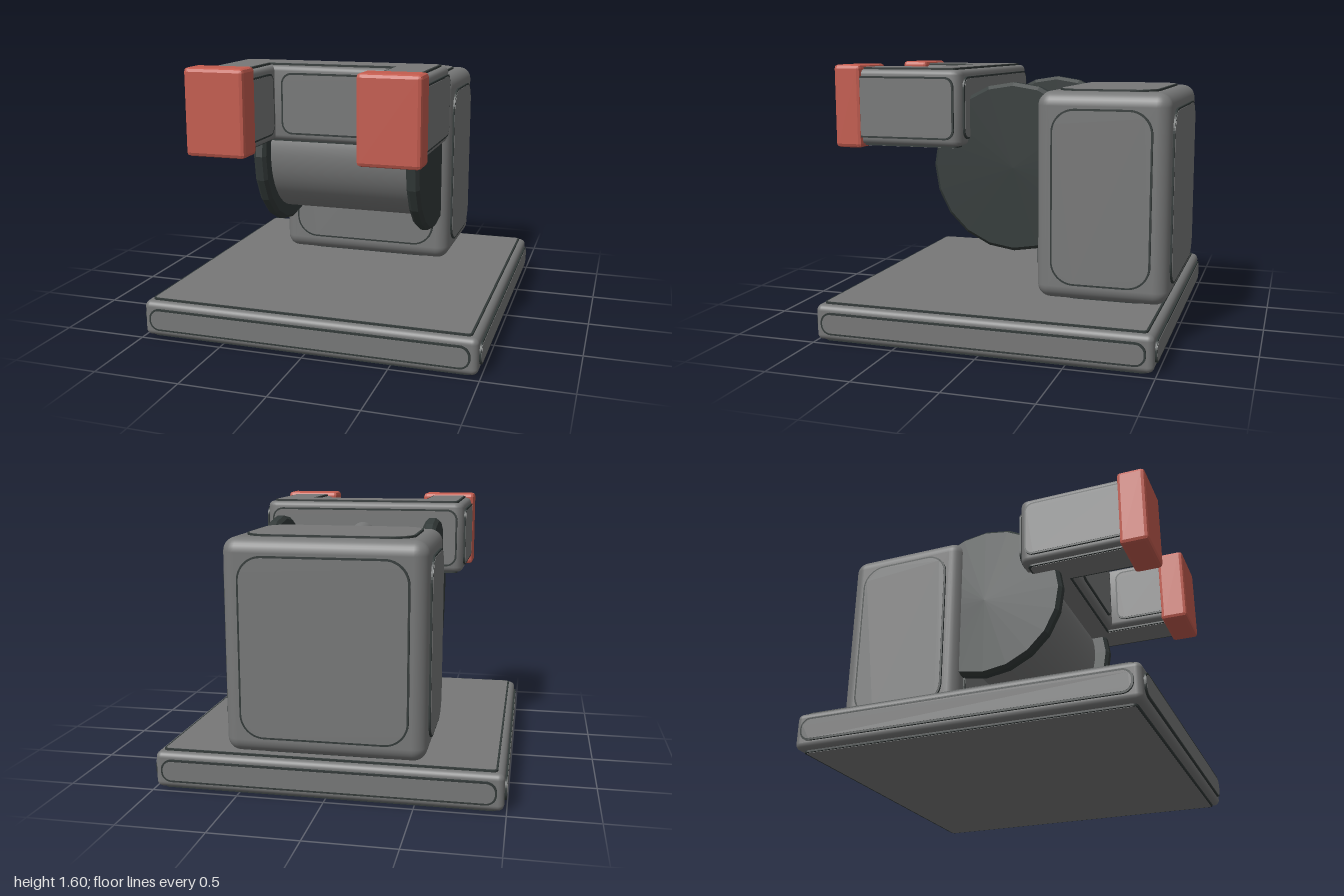
import * as THREE from 'three';
import { toCreasedNormals } from 'three/addons/utils/BufferGeometryUtils.js';
import { RoundedBoxGeometry } from 'three/addons/geometries/RoundedBoxGeometry.js';

const mat = (name, color) => {
  const m = new THREE.MeshStandardMaterial({ color });
  m.name = name;
  return m;
};

export function createModel() {
  const grey = mat('grey casing', 0x777878);
  const dark = mat('dark trim', 0x333a39);
  const red = mat('red tips', 0xc45c4f);
  const model = new THREE.Group();
  model.name = 'machine';

  const add = (parent, name, geometry, material, x = 0, y = 0, z = 0) => {
    const m = new THREE.Mesh(geometry, material);
    m.name = name;
    m.position.set(x, y, z);
    parent.add(m);
    return m;
  };
  const group = (name) => {
    const g = new THREE.Group();
    g.name = name;
    model.add(g);
    return g;
  };

  const roundRect = (w, h, r) => {
    const s = new THREE.Shape(), x = w / 2, y = h / 2, q = Math.PI / 2;
    s.absarc(x - r, y - r, r, 0, q);
    s.absarc(r - x, y - r, r, q, 2 * q);
    s.absarc(r - x, r - y, r, 2 * q, 3 * q);
    s.absarc(x - r, r - y, r, 3 * q, 4 * q);
    s.closePath();
    return s;
  };

  // Raised panel: dark seam plate with a grey face; shapeOf(e) is the outline grown by e
  const panel = (parent, name, shapeOf, normal, position) => {
    const g = new THREE.Group();
    g.name = name;
    const plate = (e, depth) => new THREE.ExtrudeGeometry(shapeOf(e),
      { depth, bevelEnabled: false, curveSegments: 6 });
    add(g, 'panelSeam', plate(0.006, 0.011), dark);
    add(g, 'panelFace', plate(-0.005, 0.013), grey);
    g.position.set(...position);
    g.quaternion.setFromUnitVectors(new THREE.Vector3(0, 0, 1), new THREE.Vector3(...normal));
    parent.add(g);
  };
  const rectPanel = (parent, name, w, h, r, normal, position) =>
    panel(parent, name, (e) => roundRect(w + 2 * e, h + 2 * e, Math.min(r, h / 2 - 0.006) + e), normal, position);

  // Rounded box with a raised panel on all six faces
  const panelledBox = (name, [w, h, d], [x, y, z], radius, inset, rSide, rTop) => {
    const g = group(name);
    g.position.set(x, y, z);
    add(g, name + 'Shell', new RoundedBoxGeometry(w, h, d, 4, radius), grey);
    const i = 2 * inset;
    for (const s of [1, -1]) {
      rectPanel(g, 'sidePanel', d - i, h - i, rSide, [s, 0, 0], [s * w / 2, 0, 0]);
      rectPanel(g, 'endPanel', w - i, h - i, rSide, [0, 0, s], [0, 0, s * d / 2]);
      rectPanel(g, 'flatPanel', w - i, d - i, rTop, [0, s, 0], [0, s * h / 2, 0]);
    }
  };
  panelledBox('base', [1.974, 0.21, 1.974], [0, 0.118, 0], 0.035, 0.045, 0.06, 0.02);
  panelledBox('body', [1.13, 1.205, 0.77], [0, 0.852, -0.602], 0.08, 0.1, 0.13, 0.13);

  // Drum between two dark discs
  const wheel = group('wheel');
  wheel.position.set(0, 1.005, -0.07);
  const drum = add(wheel, 'drum', new THREE.CylinderGeometry(0.4, 0.4, 0.9, 48), grey);
  drum.rotation.z = Math.PI / 2;
  const profile = [[0, -0.04], [0.475, -0.04], [0.495, -0.02], [0.495, 0.02], [0.475, 0.04], [0, 0.04]]
    .map(([r, y]) => new THREE.Vector2(r, y));
  const discGeometry = new THREE.LatheGeometry(profile, 20).toNonIndexed();
  discGeometry.computeVertexNormals();
  for (const s of [1, -1]) {
    const disc = add(wheel, s > 0 ? 'leftDisc' : 'rightDisc', discGeometry, dark, s * 0.478);
    disc.rotation.z = Math.PI / 2;
  }

  // Fork: U-shaped arm, drawn in x and z, with e growing the outline
  const uShape = (e, r = 0.03) => {
    const o = 0.645 + e, n = 0.34 - e, back = 0.205 - e, mid = 0.485 + e, tip = 0.88;
    const s = new THREE.Shape();
    s.moveTo(-o + r, back);
    s.lineTo(o - r, back);
    s.quadraticCurveTo(o, back, o, back + r);
    s.lineTo(o, tip);
    s.lineTo(n, tip);
    s.lineTo(n, mid);
    s.lineTo(-n, mid);
    s.lineTo(-n, tip);
    s.lineTo(-o, tip);
    s.lineTo(-o, back + r);
    s.quadraticCurveTo(-o, back, -o + r, back);
    return s;
  };
  const fork = group('fork');
  const b = 0.03;
  const forkGeometry = toCreasedNormals(new THREE.ExtrudeGeometry(uShape(-b), {
    depth: 0.44 - 2 * b, bevelThickness: b, bevelSize: b, bevelSegments: 4, curveSegments: 4,
  }), 0.7);
  forkGeometry.translate(0, 0, b);
  forkGeometry.rotateX(Math.PI / 2);
  add(fork, 'forkShell', forkGeometry, grey, 0, 1.57, 0);
  // The outline is mirrored in z for the face that points up
  const flipped = (e) => new THREE.Shape(uShape(e - 0.045).getPoints(4).map((p) => new THREE.Vector2(p.x, -p.y)));
  panel(fork, 'forkTopPanel', flipped, [0, 1, 0], [0, 1.57, 0]);
  panel(fork, 'forkBottomPanel', (e) => uShape(e - 0.045), [0, -1, 0], [0, 1.13, 0]);
  rectPanel(fork, 'forkFrontPanel', 0.58, 0.35, 0.06, [0, 0, 1], [0, 1.35, 0.485]);
  rectPanel(fork, 'forkBackPanel', 1.2, 0.35, 0.06, [0, 0, -1], [0, 1.35, 0.205]);
  for (const s of [1, -1]) {
    rectPanel(fork, 'forkOuterPanel', 0.62, 0.35, 0.05, [s, 0, 0], [s * 0.645, 1.35, 0.56]);
    rectPanel(fork, 'forkInnerPanel', 0.34, 0.35, 0.05, [-s, 0, 0], [s * 0.34, 1.35, 0.7]);
  }

  // Tapered peg behind the fork
  const pegProfile = [[0.08, 0], [0.075, 0.06], [0.052, 0.25], [0.042, 0.265], [0, 0.268]]
    .map(([r, y]) => new THREE.Vector2(r, y));
  const peg = add(fork, 'peg', toCreasedNormals(new THREE.LatheGeometry(pegProfile, 24), 0.6), grey, 0, 1.365, 0.19);
  peg.rotation.x = -Math.PI / 2;

  // Chamfered red tips
  const tipGeometry = new RoundedBoxGeometry(0.352, 0.49, 0.17, 1, 0.022);
  tipGeometry.computeVertexNormals();
  for (const s of [1, -1]) {
    add(model, s > 0 ? 'leftTip' : 'rightTip', tipGeometry, red, s * 0.49, 1.352, 0.91);
  }
  return model;
}
